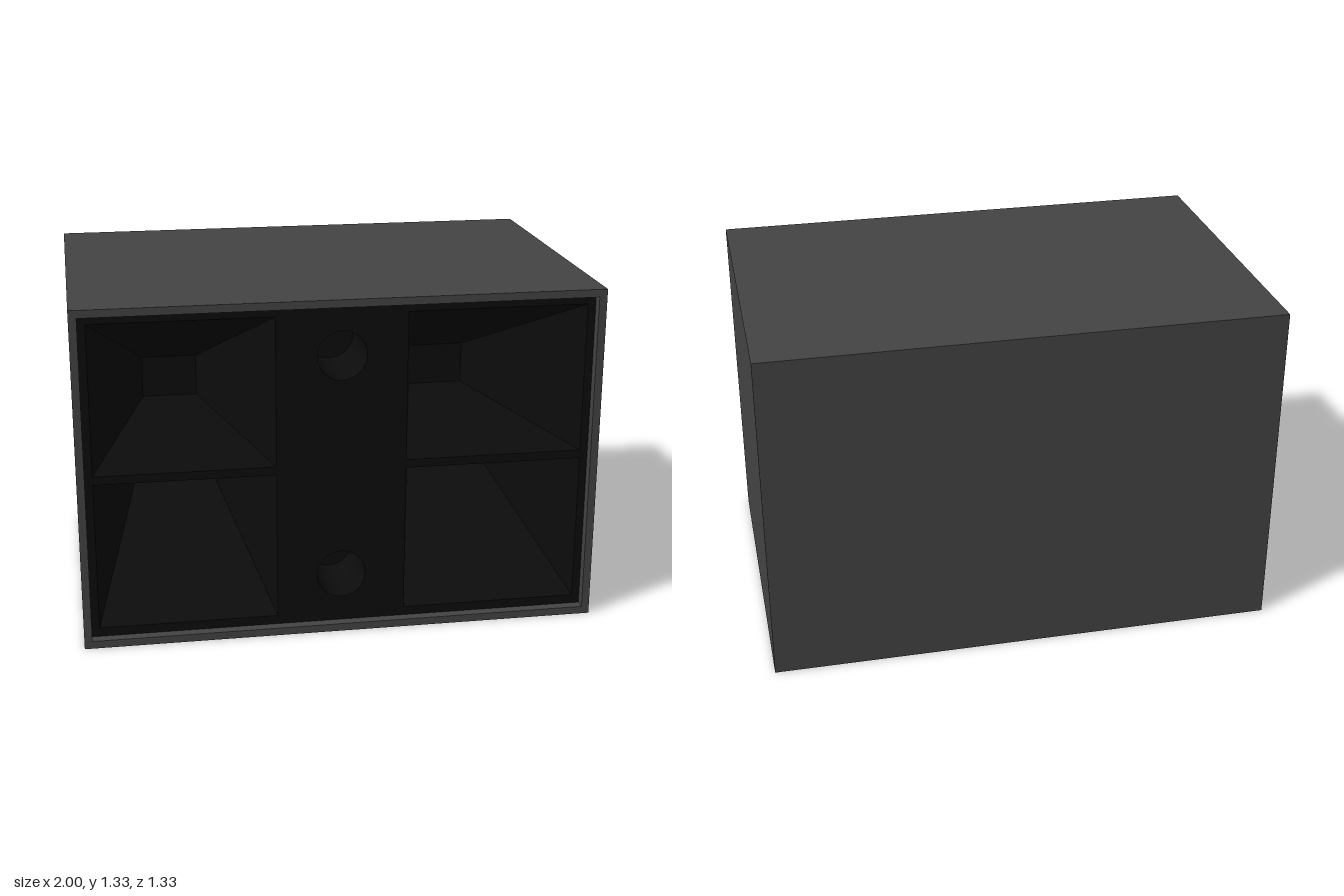
import * as THREE from 'three';

const W = 2, H = 1.333, D = 1.333, WALL = 0.03;
const FRONT = D / 2, PANEL_Z = FRONT - 0.04;
const HORN_DEPTH = 0.95, PORT_R = 0.095, PORT_DEPTH = 0.3;

const cabinetMat = new THREE.MeshStandardMaterial({ color: 0x444444 });
cabinetMat.name = 'cabinet grey';
const liningMat = new THREE.MeshStandardMaterial({ color: 0x0c0c0c, side: THREE.DoubleSide });
liningMat.name = 'baffle black';

function add(group, name, geometry, material, x = 0, y = 0, z = 0) {
  const mesh = new THREE.Mesh(geometry, material);
  mesh.name = name;
  mesh.position.set(x, y, z);
  group.add(mesh);
  return mesh;
}

// Rectangle traced as a Shape or a Path
function rect(Type, x0, y0, x1, y1) {
  const p = new Type();
  p.moveTo(x0, y0);
  p.lineTo(x1, y0);
  p.lineTo(x1, y1);
  p.lineTo(x0, y1);
  p.closePath();
  return p;
}

// Tapered rectangular funnel, open at the mouth and closed at the throat
function hornGeometry(mouth, throat) {
  const ring = ([x0, y0, x1, y1], z) => [[x0, y0, z], [x1, y0, z], [x1, y1, z], [x0, y1, z]];
  const m = ring(mouth, PANEL_Z), t = ring(throat, PANEL_Z - HORN_DEPTH);
  const pos = [];
  const quad = (a, b, c, d) => pos.push(...a, ...b, ...c, ...a, ...c, ...d);
  for (let i = 0; i < 4; i++) {
    const j = (i + 1) % 4;
    quad(m[i], m[j], t[j], t[i]);
  }
  quad(...t);
  const g = new THREE.BufferGeometry();
  g.setAttribute('position', new THREE.Float32BufferAttribute(pos, 3));
  g.computeVertexNormals();
  return g;
}

export function createModel() {
  const model = new THREE.Group();
  model.name = 'loudspeakerCabinet';

  // Cabinet: four-sided sleeve with a back plate
  const sleeve = rect(THREE.Shape, -W / 2, 0, W / 2, H);
  sleeve.holes.push(rect(THREE.Path, -W / 2 + WALL, WALL, W / 2 - WALL, H - WALL));
  add(model, 'cabinetSleeve',
    new THREE.ExtrudeGeometry(sleeve, { depth: D - WALL, bevelEnabled: false }),
    cabinetMat, 0, 0, -D / 2 + WALL);
  add(model, 'backPlate', new THREE.BoxGeometry(W, H, WALL), cabinetMat, 0, H / 2, -D / 2 + WALL / 2);

  // Four horns: a pair on each side, split by a flat septum
  const horns = [];
  for (const side of [-1, 1]) {
    for (const upper of [false, true]) {
      const box = (xa, xb, ya, yb) => {
        const xs = [side * xa, side * xb].sort((a, b) => a - b);
        const ys = upper ? [H - yb, H - ya] : [ya, yb];
        return [xs[0], ys[0], xs[1], ys[1]];
      };
      horns.push({
        name: (upper ? 'upper' : 'lower') + (side > 0 ? 'Left' : 'Right') + 'Horn',
        mouth: box(0.25, 0.94, 0.065, 0.65),
        throat: box(0.47, 0.7, 0.475, 0.65),
      });
    }
  }
  const portHeights = [0.225, H - 0.225];

  // Recessed baffle with openings for horns and ports
  const baffle = rect(THREE.Shape, -W / 2 + WALL, WALL, W / 2 - WALL, H - WALL);
  for (const h of horns) baffle.holes.push(rect(THREE.Path, ...h.mouth));
  for (const y of portHeights) {
    const hole = new THREE.Path();
    hole.absarc(0, y, PORT_R, 0, Math.PI * 2, true);
    baffle.holes.push(hole);
  }
  add(model, 'baffle', new THREE.ShapeGeometry(baffle, 24), liningMat, 0, 0, PANEL_Z);

  for (const h of horns) add(model, h.name, hornGeometry(h.mouth, h.throat), liningMat);

  // Round ports in the centre of the baffle
  for (const y of portHeights) {
    const port = new THREE.Group();
    port.name = y > H / 2 ? 'upperPort' : 'lowerPort';
    port.position.set(0, y, PANEL_Z);
    const tube = new THREE.CylinderGeometry(PORT_R, PORT_R, PORT_DEPTH, 48, 1, true);
    tube.rotateX(Math.PI / 2);
    add(port, 'portTube', tube, liningMat, 0, 0, -PORT_DEPTH / 2);
    add(port, 'portEnd', new THREE.CircleGeometry(PORT_R, 48), liningMat, 0, 0, -PORT_DEPTH);
    model.add(port);
  }
  return model;
}
